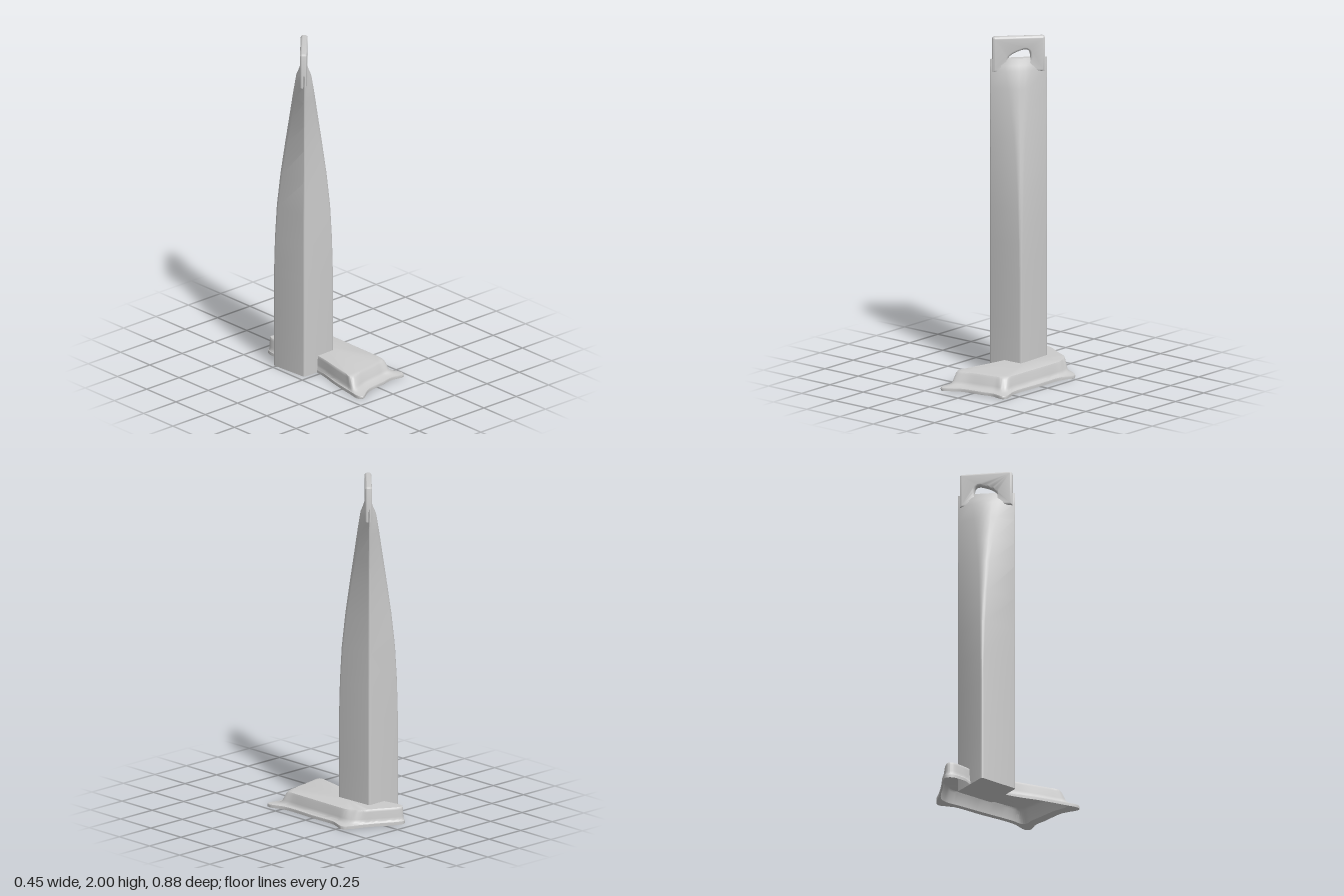
import * as THREE from 'three';
import { toCreasedNormals } from 'three/addons/utils/BufferGeometryUtils.js';

const material = new THREE.MeshStandardMaterial({ color: 0xcccccc, side: THREE.DoubleSide });
const lerp = THREE.MathUtils.lerp;

function part(name, geometry, crease = 0.6) {
  const mesh = new THREE.Mesh(toCreasedNormals(geometry, crease), material);
  mesh.name = name;
  return mesh;
}

// Skin a list of equal-length closed rings of Vector3
function loft(rings) {
  const n = rings[0].length, pos = [], index = [];
  rings.forEach(r => r.forEach(p => pos.push(p.x, p.y, p.z)));
  for (let k = 0; k < rings.length - 1; k++) {
    for (let i = 0; i < n; i++) {
      const a = k * n + i, b = k * n + (i + 1) % n;
      index.push(a, b, b + n, a, b + n, a + n);
    }
  }
  const g = new THREE.BufferGeometry();
  g.setAttribute('position', new THREE.Float32BufferAttribute(pos, 3));
  g.setIndex(index);
  return g;
}

// Square post whose two opposite corners draw in to a diagonal edge
function createPost() {
  const corners = [[-0.227, -0.272], [0.012, -0.28], [0.022, -0.033], [-0.21, -0.026]]
    .map(([x, z]) => new THREE.Vector3(x, 0, z));
  const middle = corners[1].clone().lerp(corners[3], 0.5);
  // y, reach of the moving corners, how far they are blunted
  const stations = [[1.87, 0.13, 0.5], [1.83, 0.24, 0.5], [1.8, 0.34, 0.48], [1.7, 0.44, 0.4],
    [1.55, 0.56, 0.3], [1.4, 0.67, 0.2], [1.2, 0.82, 0.14], [1.0, 0.93, 0.1],
    [0.8, 0.98, 0.07], [0.6, 1, 0.05], [0.3, 1, 0.05], [0, 1, 0.05]];
  const rings = stations.map(([y, reach, blunt]) => {
    const c = corners.map((p, i) => (i % 2 ? p.clone() : middle.clone().lerp(p, reach)));
    const ring = [];
    c.forEach((p, i) => {
      const f = i % 2 ? 0.05 : blunt * 0.96;
      const curve = new THREE.QuadraticBezierCurve3(
        p.clone().lerp(c[(i + 3) % 4], f), p, p.clone().lerp(c[(i + 1) % 4], f));
      ring.push(...curve.getPoints(4));
    });
    return ring.map(p => p.setY(y));
  });
  const cap = y => rings[0].map(() => middle.clone().setY(y));
  return part('post', loft([cap(1.87), ...rings, cap(0)]), 0.5);
}

// Flat diagonal head with a slanted eyelet
function createHead() {
  const w = 0.153, h0 = 1.79, h1 = 2, r = 0.018;
  const s = new THREE.Shape();
  s.moveTo(-w, h0);
  s.lineTo(w, h0);
  s.lineTo(w, h1 - r);
  s.quadraticCurveTo(w, h1, w - r, h1);
  s.lineTo(-w + r, h1);
  s.quadraticCurveTo(-w, h1, -w, h1 - r);
  const hole = new THREE.Path();
  hole.moveTo(-0.05, 1.84);
  hole.lineTo(0.045, 1.845);
  hole.quadraticCurveTo(0.066, 1.85, 0.066, 1.875);
  hole.quadraticCurveTo(0.068, 1.925, 0.03, 1.92);
  hole.quadraticCurveTo(-0.03, 1.905, -0.055, 1.88);
  hole.quadraticCurveTo(-0.075, 1.85, -0.05, 1.84);
  s.holes.push(hole);
  const g = new THREE.ExtrudeGeometry(s, {
    depth: 0.012, bevelThickness: 0.014, bevelSize: 0.014, bevelOffset: -0.014,
    bevelSegments: 4, curveSegments: 8,
  });
  g.translate(0, 0, -0.006);
  const mesh = part('eyeletHead', g, 0.7);
  mesh.position.set(-0.099, 0, -0.154);
  mesh.rotation.y = 0.82;
  return mesh;
}

// Raised foot plate with a thin flared skirt, hollow underneath
function createFoot() {
  // Each row: top edge x, z, then skirt edge x, z
  const outline = [
    [-0.11, -0.425, -0.11, -0.442], [-0.08, -0.42, -0.07, -0.435], [0.03, -0.36, 0.04, -0.375],
    [0.09, -0.33, 0.12, -0.335], [0.115, -0.3, 0.195, -0.302], [0.125, -0.27, 0.226, -0.27],
    [0.147, -0.235, 0.21, -0.215], [0.153, -0.17, 0.195, -0.17], [0.152, 0, 0.196, 0],
    [0.15, 0.19, 0.194, 0.23], [0.142, 0.235, 0.225, 0.33], [0.12, 0.255, 0.212, 0.357],
    [0.09, 0.265, 0.13, 0.346], [0.04, 0.275, 0.06, 0.36], [-0.06, 0.293, -0.08, 0.384],
    [-0.15, 0.306, -0.175, 0.438], [-0.161, 0.295, -0.195, 0.42], [-0.155, 0.26, -0.184, 0.33],
    [-0.138, 0.17, -0.155, 0.17], [-0.112, 0.04, -0.122, 0.04], [-0.1, -0.05, -0.11, -0.05],
    [-0.105, -0.26, -0.115, -0.27], [-0.12, -0.33, -0.135, -0.33], [-0.125, -0.405, -0.136, -0.41],
  ];
  const sample = k => new THREE.CatmullRomCurve3(
    outline.map(r => new THREE.Vector3(r[k], 0, r[k + 1])), true);
  const top = sample(0), skirt = sample(2), n = 120;
  const ring = (t, y) => Array.from({ length: n }, (_, i) => {
    const a = top.getPoint(i / n), b = skirt.getPoint(i / n);
    return new THREE.Vector3(lerp(a.x, b.x, t), y, lerp(a.z, b.z, t));
  });
  const centre = y => Array.from({ length: n }, () => new THREE.Vector3(0.02, y, -0.1));
  return part('footPlate', loft([
    centre(0.1), ring(-0.1, 0.1), ring(0.08, 0.097), ring(0.18, 0.085), ring(0.33, 0.045),
    ring(0.42, 0.03), ring(0.6, 0.022), ring(0.97, 0.018), ring(1, 0.01), ring(0.98, 0),
    ring(0.4, 0.004), ring(0.1, 0.07), ring(-0.05, 0.08), centre(0.08),
  ]), 0.7);
}

export function createModel() {
  const model = new THREE.Group();
  model.name = 'eyeletPost';
  model.add(createPost(), createHead(), createFoot());
  return model;
}
